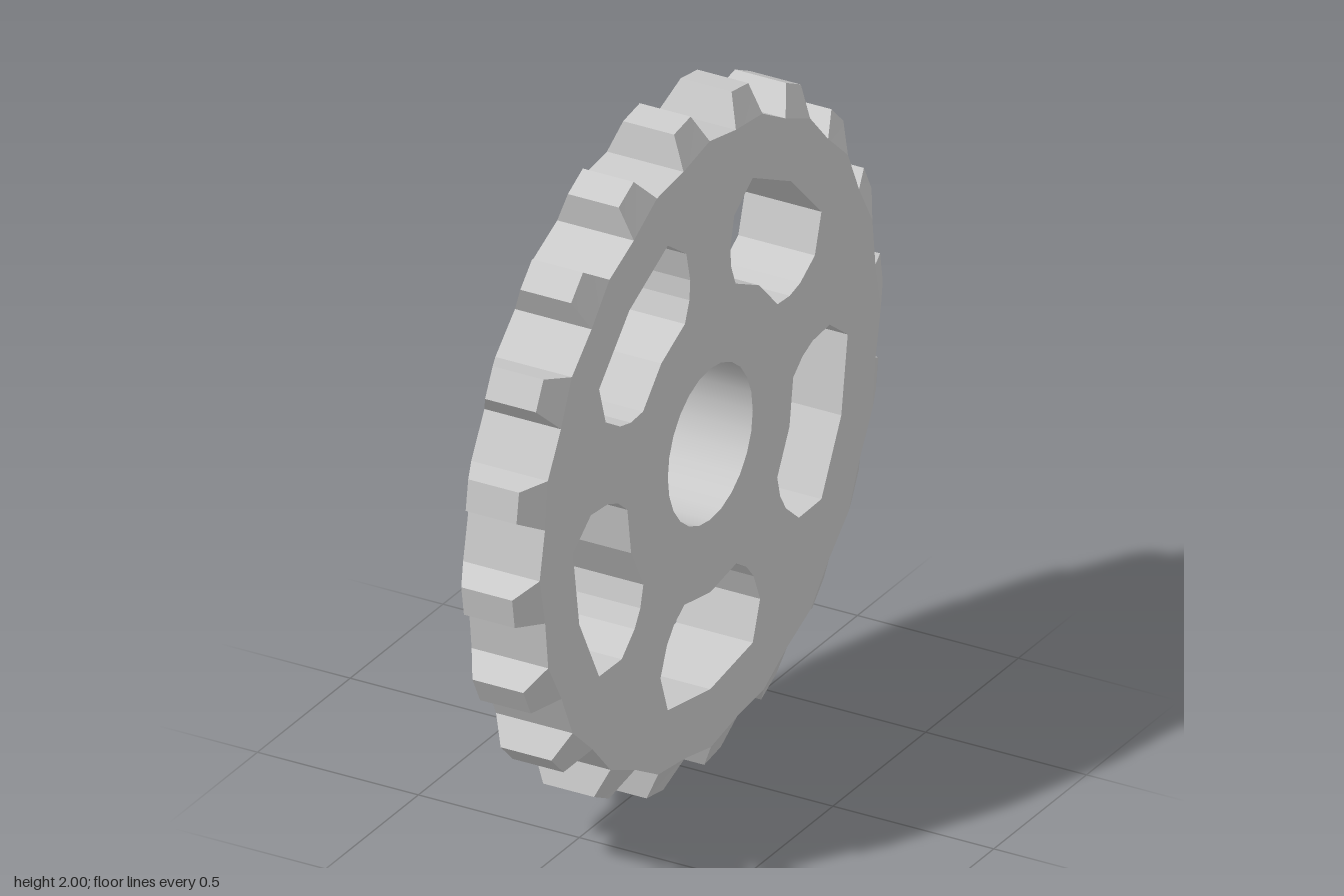
import * as THREE from 'three';

const TEETH = 20;
const HALF = 0.119;      // half thickness of the disc
const TIP_HALF = 0.079;  // half thickness at the tooth tips
const ROOT = [0.92, 0.902]; // root radius at the right and left side of a tooth
const HUB = 0.229;
const rad = THREE.MathUtils.degToRad;
const polar = (r, deg) => new THREE.Vector2(r * Math.cos(rad(deg)), r * Math.sin(rad(deg)));

// Half outline of a lightening hole: radius, degrees from its middle line
const HOLE = [[0.447, 18.2], [0.5, 23], [0.556, 24.8], [0.648, 24.5], [0.741, 18]];

function discGeometry() {
  // Rim: one corner at each side of every tooth
  const rim = [];
  for (let i = 0; i < TEETH * 2; i++) rim.push(polar(ROOT[i % 2], i * 9 + 0.2));
  const shape = new THREE.Shape(rim);

  // Centre bore
  const bore = [];
  for (let i = 0; i < 24; i++) bore.push(polar(HUB, i * 15));
  shape.holes.push(new THREE.Path(bore));

  // Five mirrored lightening holes
  for (let i = 0; i < 5; i++) {
    const mid = 270 + i * 72;
    const pts = [
      polar(0.449, mid),
      ...HOLE.map(([r, a]) => polar(r, mid + a)),
      polar(0.743, mid),
      ...[...HOLE].reverse().map(([r, a]) => polar(r, mid - a)),
    ];
    shape.holes.push(new THREE.Path(pts));
  }

  const geo = new THREE.ExtrudeGeometry(shape, { depth: 2 * HALF, bevelEnabled: false });
  geo.translate(0, 0, -HALF);

  // Round shading inside the bore only
  const p = geo.attributes.position, n = geo.attributes.normal;
  for (let i = 0; i < p.count; i++) {
    const r = Math.hypot(p.getX(i), p.getY(i));
    if (r < HUB + 0.01 && Math.abs(n.getZ(i)) < 0.5) n.setXYZ(i, -p.getX(i) / r, -p.getY(i) / r, 0);
  }
  return geo.rotateY(Math.PI / 2);
}

// Tooth: a box bent into a tapered block standing on the rim
function toothGeometry(index) {
  const geo = new THREE.BoxGeometry(1, 1, 1);
  const p = geo.attributes.position;
  const mid = index * 18 + 4.7;
  for (let i = 0; i < p.count; i++) {
    const right = p.getX(i) > 0, tip = p.getY(i) > 0, side = Math.sign(p.getZ(i));
    const r = tip ? (right ? 1 : 0.993) : ROOT[right ? 0 : 1];
    const v = polar(r, mid + (right ? -1 : 1) * (tip ? 2.6 : 4.5));
    p.setXYZ(i, v.x, v.y, side * (tip ? TIP_HALF : HALF));
  }
  geo.computeVertexNormals();
  return geo.rotateY(Math.PI / 2);
}

export function createModel() {
  const group = new THREE.Group();
  group.name = 'gearWheel';
  const material = new THREE.MeshStandardMaterial({ color: 0xcccccc });

  const add = (name, geo) => {
    const mesh = new THREE.Mesh(geo, material);
    mesh.name = name;
    mesh.position.y = 1;
    group.add(mesh);
  };

  add('disc', discGeometry());
  for (let i = 0; i < TEETH; i++) add(`tooth${i + 1}`, toothGeometry(i));
  return group;
}
